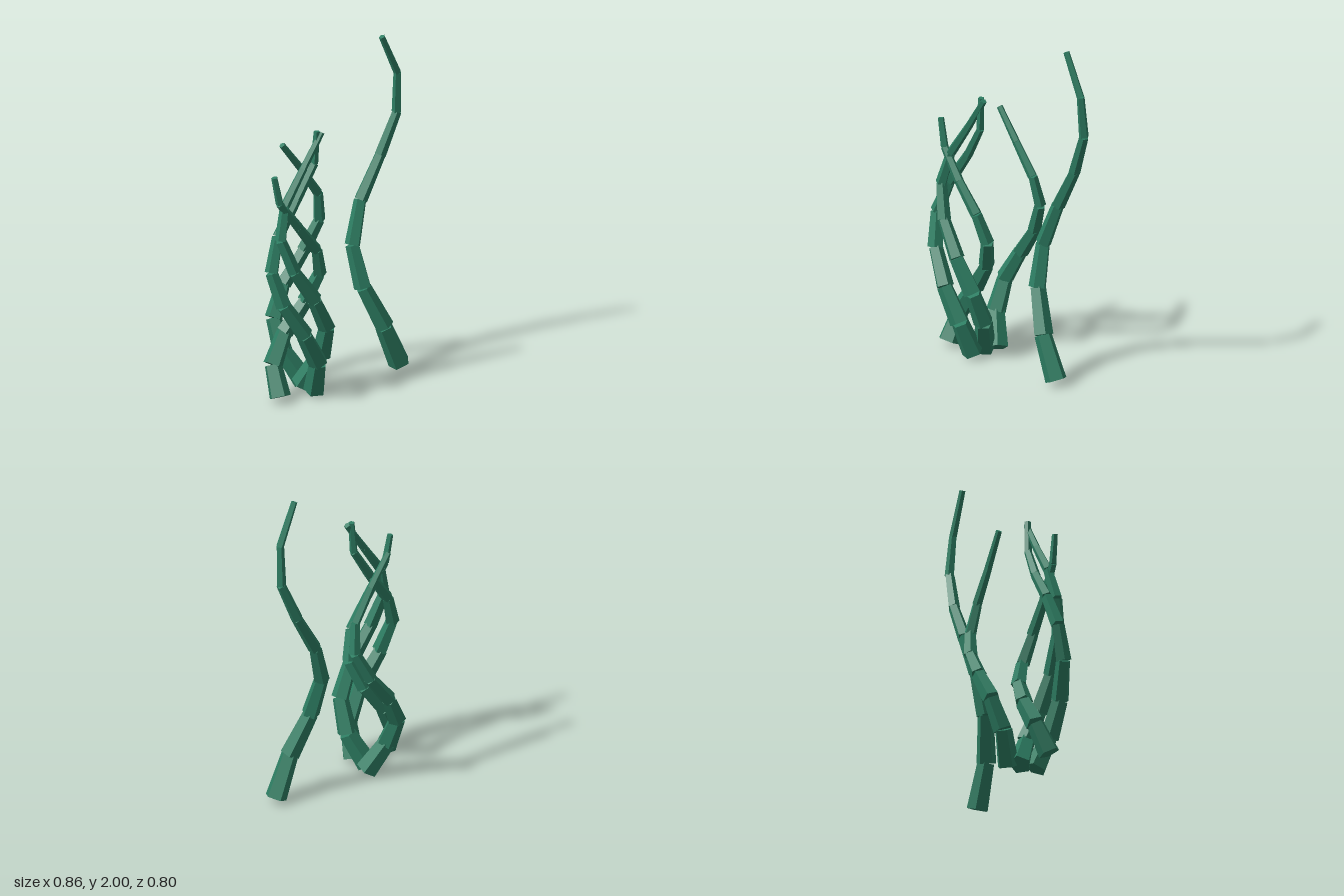
import * as THREE from 'three';

const SEGMENTS = 8;
const BASE_Y = 0.025;

// Swaying centre line of one strand, sampled at joint i
function joint(s, i) {
  return new THREE.Vector3(
    s.x - 0.14 * Math.sin(0.9 * i + s.phase),
    BASE_Y + ((s.top - BASE_Y) * i) / SEGMENTS,
    s.z + 0.116 * Math.cos(0.7 * i + s.phase)
  );
}

export function createModel() {
  const model = new THREE.Group();
  model.name = 'seaweedCluster';
  const green = new THREE.MeshStandardMaterial({ color: 0x2d7d62, flatShading: true });
  green.name = 'seaweedGreen';

  // Each strand is one step further round the sway than the last
  const strands = [
    { name: 'innerStrand', x: -0.205, z: 0.215, top: 1.575, phase: 3.13 },
    { name: 'frontStrand', x: -0.255, z: 0.245, top: 1.585, phase: 4.13 },
    { name: 'tallStrand', x: 0.245, z: -0.25, top: 1.99, phase: 5.12 },
    { name: 'backStrand', x: -0.215, z: -0.085, top: 1.45, phase: 6.12 },
    { name: 'shortStrand', x: -0.24, z: 0.205, top: 1.38, phase: 7.12 },
  ];

  for (const s of strands) {
    const strand = new THREE.Group();
    strand.name = s.name;
    // Tapered five-sided stalk pieces, each stepping out at the joint
    for (let i = 0; i < SEGMENTS; i++) {
      const a = joint(s, i);
      const b = joint(s, i + 1);
      const r = 0.065 - 0.006 * i;
      const piece = new THREE.Mesh(
        new THREE.CylinderGeometry(r * 0.8, r, a.distanceTo(b), 5),
        green
      );
      piece.name = `stalkPiece${i + 1}`;
      piece.position.copy(a).lerp(b, 0.5);
      piece.lookAt(b);
      piece.rotateX(Math.PI / 2);
      piece.rotateY(Math.PI);
      strand.add(piece);
    }
    model.add(strand);
  }
  return model;
}
